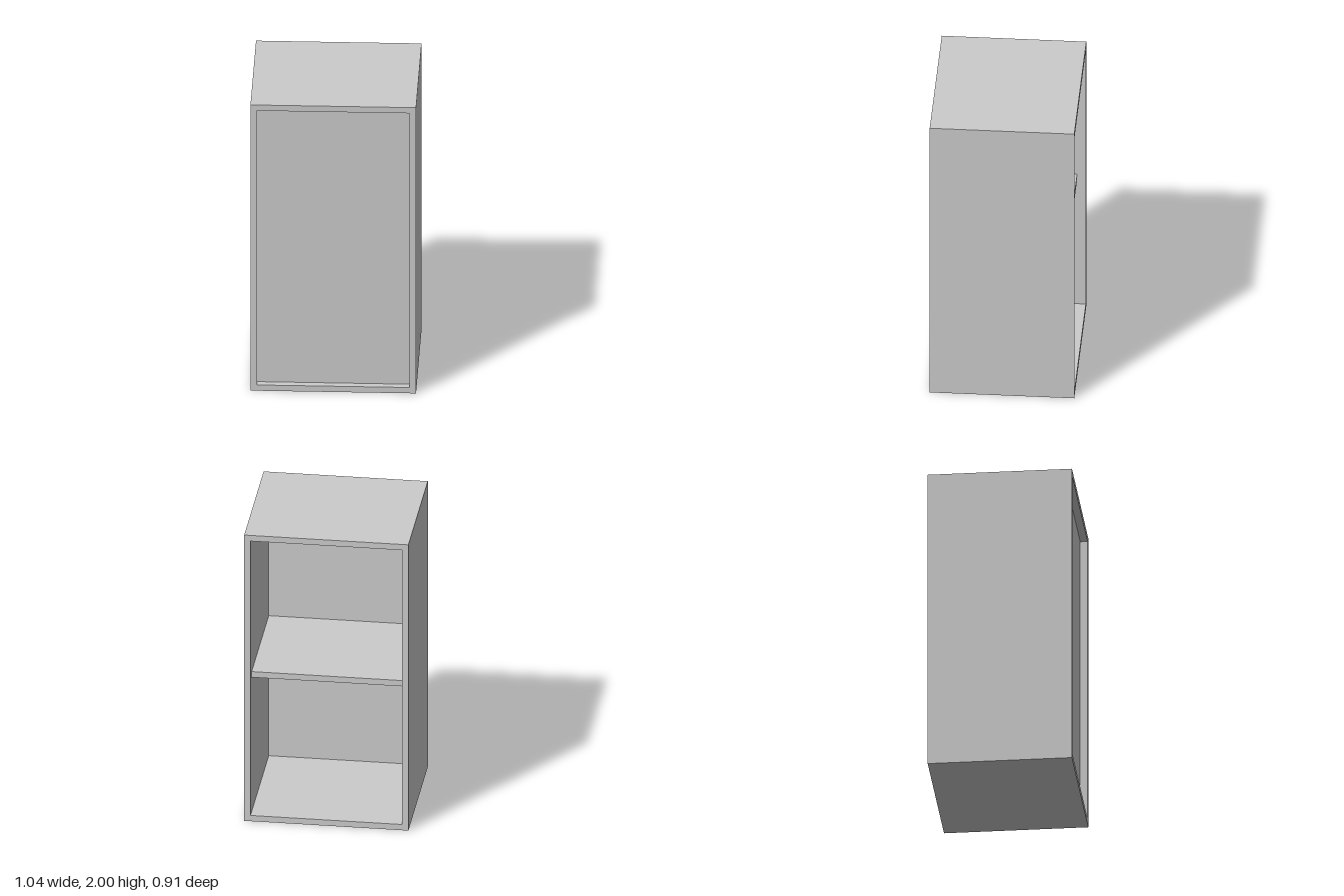
import * as THREE from 'three';

const W = 1.04, H = 2, D = 0.91, T = 0.04; // outer size and board thickness
const RECESS = 0.047, PANEL = 0.008, SETBACK = 0.055;

// Closed rectangle outline, usable as a shape or a hole
function rectangle(PathType, x0, y0, x1, y1) {
  const p = new PathType();
  p.moveTo(x0, y0);
  p.lineTo(x1, y0);
  p.lineTo(x1, y1);
  p.lineTo(x0, y1);
  p.closePath();
  return p;
}

export function createModel() {
  const group = new THREE.Group();
  group.name = 'cabinet';
  const material = new THREE.MeshStandardMaterial({ color: 0xcccccc });

  const add = (name, geometry, x, y, z) => {
    const mesh = new THREE.Mesh(geometry, material);
    mesh.name = name;
    mesh.position.set(x, y, z);
    group.add(mesh);
  };

  // Carcass: top, bottom and both sides as one frame, open through z
  const outline = rectangle(THREE.Shape, -W / 2, 0, W / 2, H);
  outline.holes.push(rectangle(THREE.Path, -W / 2 + T, T, W / 2 - T, H - T));
  const carcass = new THREE.ExtrudeGeometry(outline, { depth: D, bevelEnabled: false });
  add('carcass', carcass, 0, 0, -D / 2);

  // Thin panel recessed behind the front edge
  const innerW = W - 2 * T;
  const panelZ = D / 2 - RECESS - PANEL / 2;
  add('frontPanel', new THREE.BoxGeometry(innerW, H - 2 * T, PANEL), 0, H / 2, panelZ);

  // Middle shelf, from the panel to just short of the open back
  const shelfFront = panelZ - PANEL / 2;
  const shelfBack = -D / 2 + SETBACK;
  add('shelf', new THREE.BoxGeometry(innerW, T, shelfFront - shelfBack),
    0, H / 2, (shelfFront + shelfBack) / 2);

  return group;
}
